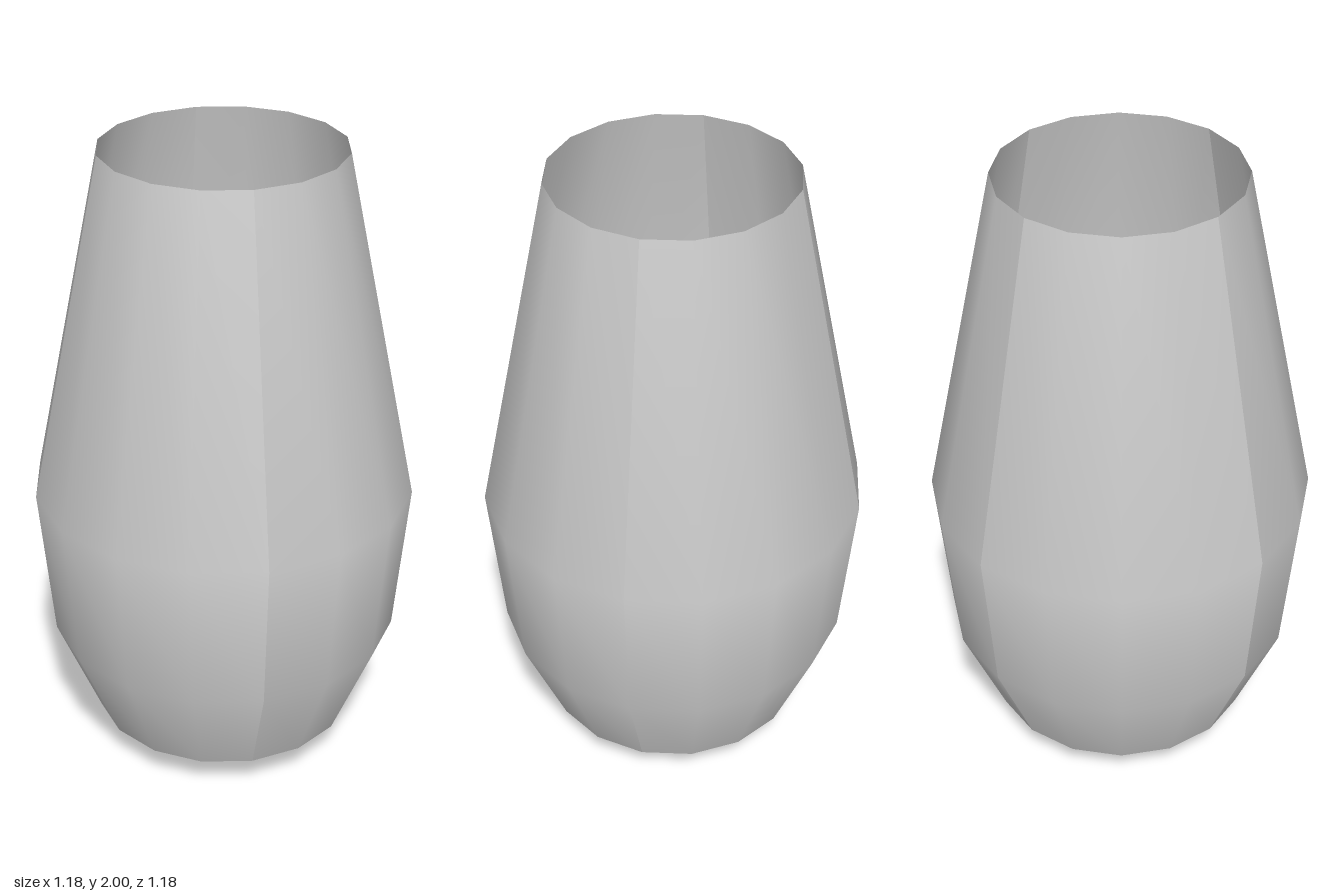
import * as THREE from 'three';

const toPoints = (list) => list.map(([r, y]) => new THREE.Vector2(r, y));

export function createModel() {
  const vase = new THREE.Group();
  vase.name = 'vase';
  const material = new THREE.MeshStandardMaterial({ color: 0xcccccc, side: THREE.DoubleSide });

  // Thin open wall: four quarter panels, smooth inside, creased on the diagonals
  const wallProfile = toPoints([[0.41, 0.12], [0.545, 0.44], [0.59, 0.92], [0.37, 2]]);
  const wall = new THREE.Group();
  wall.name = 'wall';
  for (let i = 0; i < 4; i++) {
    const start = Math.PI / 4 + (i * Math.PI) / 2;
    const geometry = new THREE.LatheGeometry(wallProfile, 4, start, Math.PI / 2);
    geometry.computeVertexNormals();
    const panel = new THREE.Mesh(geometry, material);
    panel.name = `wallPanel${i + 1}`;
    wall.add(panel);
  }
  vase.add(wall);

  // Tapered base with a flat, closed foot
  const baseProfile = toPoints([[0, 0], [0.23, 0], [0.41, 0.12]]);
  const base = new THREE.Mesh(new THREE.LatheGeometry(baseProfile, 16), material);
  base.name = 'base';
  vase.add(base);

  return vase;
}
